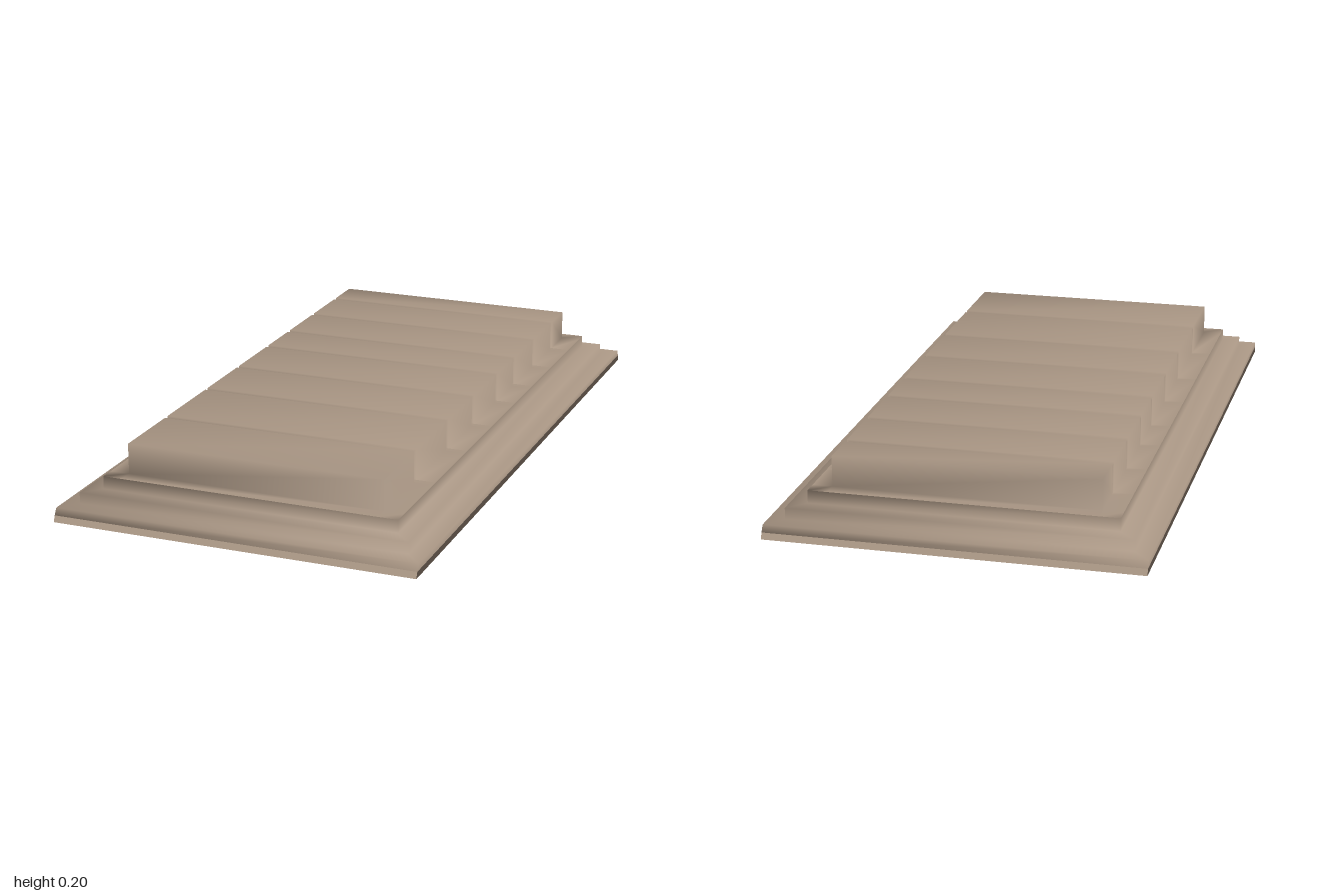
import * as THREE from 'three';
import { mergeVertices } from 'three/addons/utils/BufferGeometryUtils.js';

// Joins successive cross-sections (arrays of [x, y, z]) with quads
function loft(sections, closed, out) {
  for (let s = 0; s < sections.length - 1; s++) {
    const a = sections[s], b = sections[s + 1], n = a.length;
    for (let i = 0; i < (closed ? n : n - 1); i++) {
      const j = (i + 1) % n;
      out.push(...a[i], ...a[j], ...b[j], ...a[i], ...b[j], ...b[i]);
    }
  }
}

const ring = ([x, y, z]) => [[x, y, z], [x, y, -z], [-x, y, -z], [-x, y, z]];

function toGeometry(points) {
  const geometry = new THREE.BufferGeometry();
  geometry.setAttribute('position', new THREE.Float32BufferAttribute(points, 3));
  return geometry;
}

const DECK_Y = 0.108, TOP_Y = 0.198, STEP_X = 0.443, STEP_Z = 0.88;
const BLOCK_X = 0.385, BLOCK_Z = 0.835;
const GROOVES = [0.593, 0.321, 0.093, -0.133, -0.307, -0.509, -0.706];
const GROOVE_HALF = 0.009;

// Upper step and block seen across x: tread, side, top, side, tread
const profile = (z, top, right) => [
  [-STEP_X, DECK_Y, z], [-BLOCK_X, DECK_Y, z], [-BLOCK_X, top, z],
  [right, top, z], [right, DECK_Y, z], [STEP_X, DECK_Y, z],
];

function bodyGeometry() {
  const points = [];

  // Bevelled plinth and the two steps above it
  loft([
    [0.54, 0.018, 0.993], [0.54, 0.037, 0.982],
    [0.493, 0.037, 0.93], [0.493, 0.07, 0.93],
    [STEP_X, 0.07, STEP_Z], [STEP_X, DECK_Y, STEP_Z],
  ].map(ring), true, points);

  // Top block, with grooves cut across the top and down the right-hand face
  const flat = (z) => profile(z, DECK_Y, BLOCK_X);
  const plank = (z) => profile(z, TOP_Y, BLOCK_X);
  const groove = (z) => profile(z, TOP_Y - 0.007, BLOCK_X - 0.01);
  const sections = [flat(STEP_Z), flat(BLOCK_Z), plank(BLOCK_Z)];
  for (const z of GROOVES) {
    const front = z + GROOVE_HALF, back = z - GROOVE_HALF;
    sections.push(plank(front), groove(front), groove(back), plank(back));
  }
  sections.push(plank(-BLOCK_Z), flat(-BLOCK_Z), flat(-STEP_Z));
  loft(sections, false, points);

  // Shared corners give the soft shading
  const geometry = mergeVertices(toGeometry(points), 1e-4);
  geometry.computeVertexNormals();
  return geometry;
}

function undersideGeometry() {
  // Flat bottom and its thin rim, shaded as one downward face
  const points = [];
  loft([[0, 0, 0], [0.54, 0, 1], [0.54, 0.018, 0.993]].map(ring), true, points);
  const geometry = toGeometry(points);
  const normals = points.map((_, i) => (i % 3 === 1 ? -1 : 0));
  geometry.setAttribute('normal', new THREE.Float32BufferAttribute(normals, 3));
  return geometry;
}

export function createModel() {
  const stone = new THREE.MeshStandardMaterial({ color: 0xa89583 });
  stone.name = 'sandstone';

  const model = new THREE.Group();
  model.name = 'steppedPlatform';
  const add = (name, geometry) => {
    const mesh = new THREE.Mesh(geometry, stone);
    mesh.name = name;
    model.add(mesh);
  };
  add('stepsAndGroovedBlock', bodyGeometry());
  add('underside', undersideGeometry());
  return model;
}
